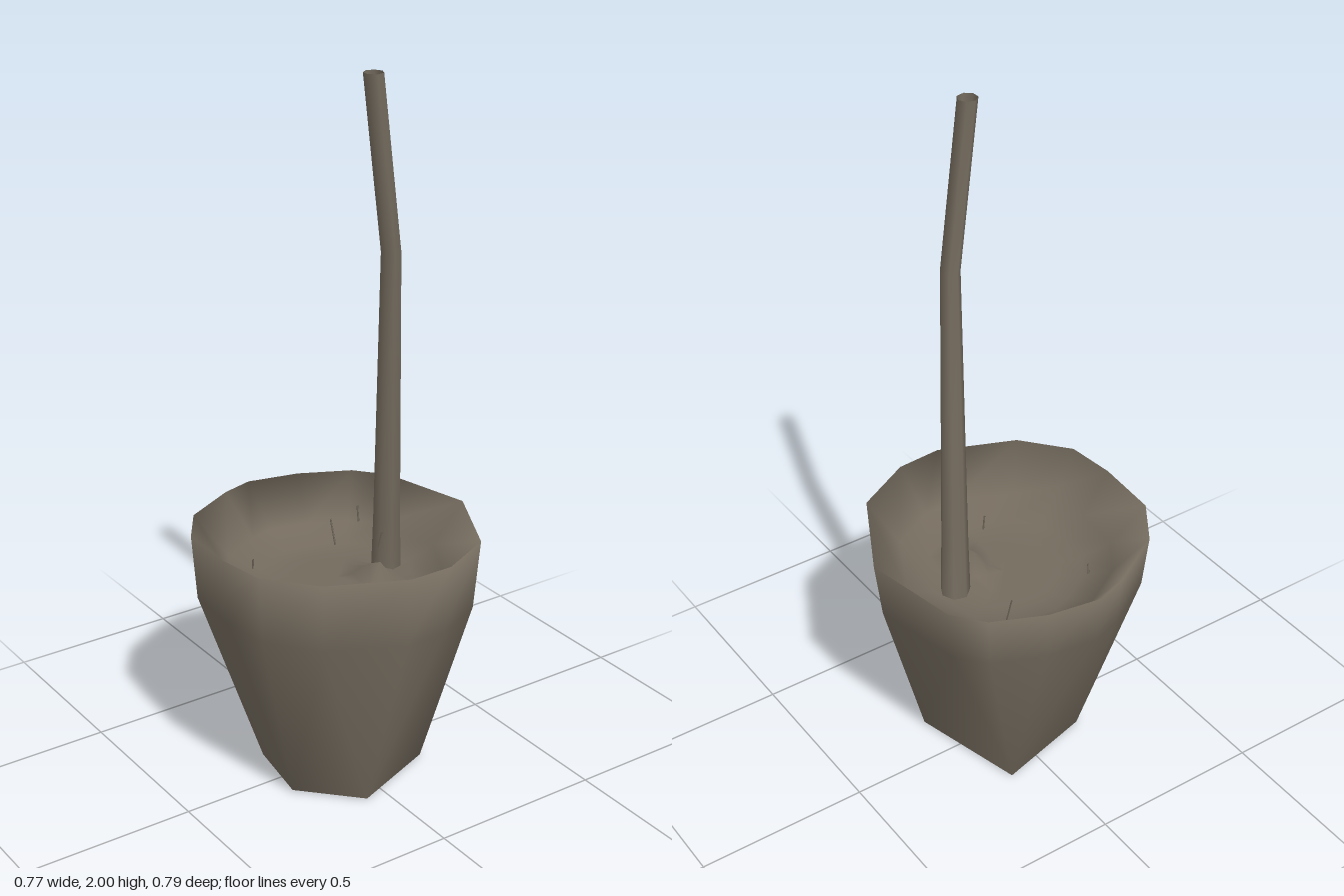
import * as THREE from 'three';
import { mergeVertices } from 'three/addons/utils/BufferGeometryUtils.js';

// Outlines as [x, z] corners, in order of rising angle from +x towards +z
const RIM = [[0.383, 0.06], [0.255, 0.305], [0.09, 0.388], [-0.04, 0.393], [-0.255, 0.3], [-0.365, 0.17],
  [-0.383, 0.03], [-0.375, -0.155], [-0.295, -0.275], [-0.135, -0.365], [-0.04, -0.395],
  [0.11, -0.367], [0.255, -0.3], [0.325, -0.215]];
const SHOULDER = RIM.map(([x, z]) => [x * 0.958 - 0.013, z * 0.958 + 0.015]);
const BASE = [[0.192, 0.134], [-0.064, 0.233], [-0.21, 0.08], [-0.178, -0.122], [0.107, -0.197]];

// Facing directions that pair up the corners of two outlines, so the wall between them stays convex
const TURN = Math.PI * 2;
const edgeFacing = (outline) => outline.map(([x, z], i) => {
  const [nx, nz] = outline[(i + 1) % outline.length];
  return (Math.atan2(x - nx, nz - z) + TURN) % TURN;
});
const FACINGS = [...edgeFacing(RIM), ...edgeFacing(BASE)].sort((a, b) => a - b);
const DIRECTIONS = FACINGS.map((a, i) => (a + (FACINGS[i + 1] ?? FACINGS[0] + TURN)) / 2);

// Corner of an outline lying furthest along a direction
function furthest(outline, angle) {
  const along = ([x, z]) => x * Math.cos(angle) + z * Math.sin(angle);
  return outline.reduce((best, p) => (along(p) > along(best) ? p : best));
}

// Smooth skin over closed rings of points
function loft(rings) {
  const n = rings[0].length, index = [];
  for (let j = 0; j < rings.length - 1; j++) {
    for (let i = 0; i < n; i++) {
      const a = j * n + i, b = j * n + (i + 1) % n;
      index.push(a, a + n, b, b, a + n, b + n);
    }
  }
  const g = new THREE.BufferGeometry();
  g.setAttribute('position', new THREE.Float32BufferAttribute(rings.flat(2), 3));
  g.setIndex(index);
  const merged = mergeVertices(g);
  merged.computeVertexNormals();
  return merged;
}

const ring = (outline, height, scale = 1) => DIRECTIONS.map((a) => {
  const [x, z] = furthest(outline, a);
  return [x * scale, height(x * scale, z * scale), z * scale];
});
const rimHeight = (x, z) => 0.737 - 0.025 * x + 0.025 * z;
const bump = (x, z, cx, cz, r, h) => h * Math.exp(-((x - cx) ** 2 + (z - cz) ** 2) / (r * r));

export function createModel() {
  const model = new THREE.Group();
  const clay = new THREE.MeshStandardMaterial({ color: 0x746b5e, side: THREE.DoubleSide });
  clay.name = 'grey brown clay';
  const add = (name, geometry) => {
    const m = new THREE.Mesh(geometry, clay);
    m.name = name;
    model.add(m);
  };

  // Pot: wall rising from a five-cornered foot, soft rim, then the hollow with lumpy soil
  const soil = (depth) => (x, z) => rimHeight(x, z) - depth
    + bump(x, z, 0.085, 0.07, 0.045, depth * 0.5)
    + bump(x, z, -0.29, -0.05, 0.05, depth * 0.4)
    + bump(x, z, -0.28, 0.13, 0.05, depth * 0.4);
  const levels = [[0.76, 0.12], [0.55, 0.155], [0.4, 0.16], [0.3, 0.16], [0.22, 0.16], [0.12, 0.16], [0.001, 0.16]];
  add('potAndSoil', loft([
    ring(BASE, () => 0.005),
    ring(SHOULDER, (x) => 0.555 - 0.03 * x),
    ring(RIM, rimHeight),
    ...levels.map(([scale, depth]) => ring(RIM, soil(depth), scale)),
  ]));
  add('potBase', loft([ring(BASE, () => 0, 0.001), ring(BASE, () => 0.005)]));

  // Bent, tapering stem, open at the tip: [x, y, z, radius]
  const path = [[0.157, 0.55, 0.008, 0.043], [0.146, 0.73, 0.024, 0.038],
    [0.093, 1.53, 0.104, 0.027], [0.038, 2, 0.098, 0.027]];
  const sides = 7;
  add('stem', loft(path.map(([x, y, z, r]) => Array.from({ length: sides }, (_, i) => {
    const a = (i / sides) * TURN;
    return [x + Math.cos(a) * r, y, z + Math.sin(a) * r];
  }))));

  // Small twigs in the soil: foot to top
  const twigs = [[[0.005, 0.74, 0.18], [0.005, 0.79, 0.195]], [[0.055, 0.74, 0.018], [0.053, 0.785, 0.015]],
    [[0.11, 0.56, -0.17], [0.105, 0.65, -0.19]], [[-0.18, 0.56, -0.16], [-0.182, 0.62, -0.15]]];
  for (const [foot, top] of twigs) {
    const curve = new THREE.LineCurve3(new THREE.Vector3(...foot), new THREE.Vector3(...top));
    add('twig', new THREE.TubeGeometry(curve, 1, 0.003, 4));
  }
  return model;
}
